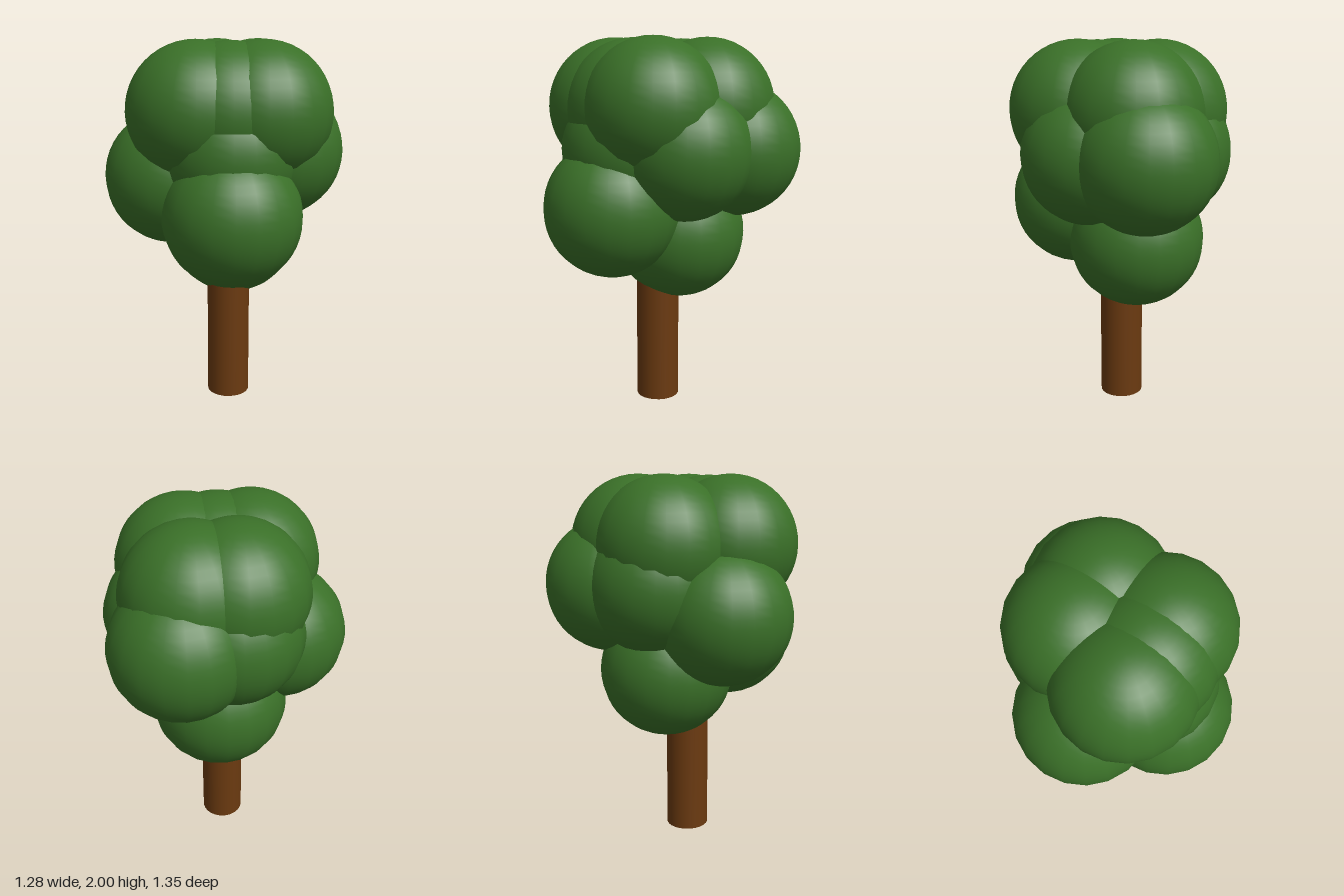
import * as THREE from 'three';

const RADIUS = 0.365;

// centres of the equal leaf balls, from the bottom tier to the crown
const CLUMPS = {
  lowerBackClump: [0.055, 0.945, -0.11],
  lowerFrontClump: [0.03, 1.115, 0.31],
  rightClump: [-0.28, 1.275, 0.01],
  leftClump: [0.275, 1.42, 0.025],
  backLeftClump: [0.27, 1.415, -0.31],
  backClump: [0, 1.43, -0.23],
  frontClump: [0.025, 1.42, 0.19],
  crownFrontRight: [-0.15, 1.635, 0.165],
  crownFrontMiddle: [0.025, 1.63, 0.165],
  crownFrontLeft: [0.195, 1.635, 0.165],
  crownBackRight: [-0.03, 1.635, -0.185],
  crownBackLeft: [0.195, 1.635, -0.185],
};

export function createModel() {
  const tree = new THREE.Group();
  tree.name = 'tree';

  const bark = new THREE.MeshStandardMaterial({ color: 0x6b3a10 });
  const leaf = new THREE.MeshStandardMaterial({ color: 0x3a7028 });

  // trunk, its top buried in the foliage
  const height = 0.9;
  const trunk = new THREE.Mesh(new THREE.CylinderGeometry(0.118, 0.118, height, 24), bark);
  trunk.name = 'trunk';
  trunk.position.set(0.025, height / 2, 0.012);
  tree.add(trunk);

  // foliage: overlapping balls
  const foliage = new THREE.Group();
  foliage.name = 'foliage';
  const ball = new THREE.SphereGeometry(RADIUS, 20, 24);
  for (const [name, centre] of Object.entries(CLUMPS)) {
    const clump = new THREE.Mesh(ball, leaf);
    clump.name = name;
    clump.position.set(...centre);
    foliage.add(clump);
  }
  tree.add(foliage);

  return tree;
}
